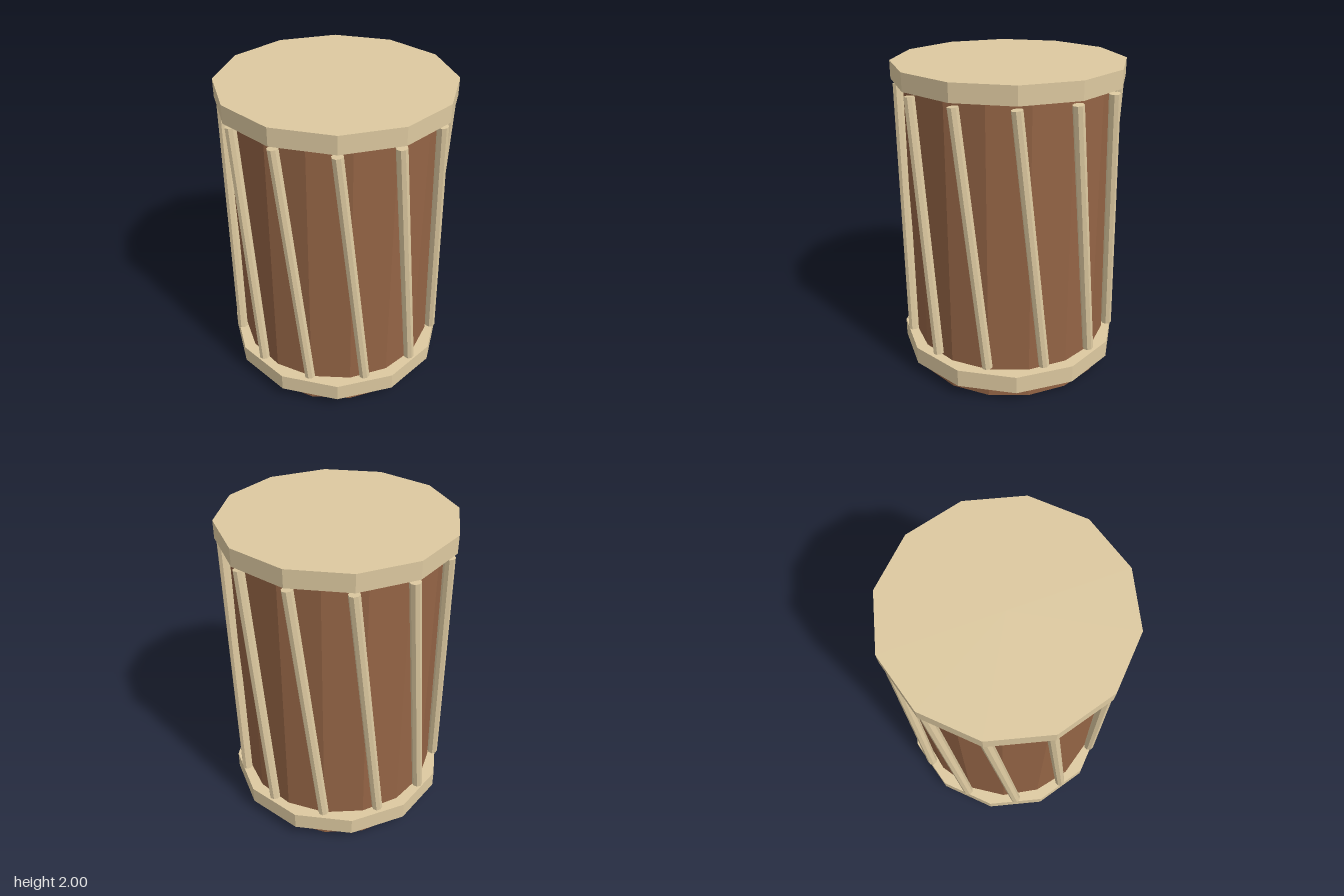
import * as THREE from 'three';

const wood = new THREE.MeshStandardMaterial({ color: 0x946445 });
wood.name = 'brown wood';
const hide = new THREE.MeshStandardMaterial({ color: 0xddc9a0 });
hide.name = 'pale hide';

// Faceted cylinder standing between two heights
function drumPart(name, radius, y0, y1, sides, material) {
  const geometry = new THREE.CylinderGeometry(radius, radius, y1 - y0, sides).toNonIndexed();
  geometry.computeVertexNormals();
  const mesh = new THREE.Mesh(geometry, material);
  mesh.name = name;
  mesh.position.y = (y0 + y1) / 2;
  return mesh;
}

// Point on the cord circle, measured from the front towards +x
const cordPoint = (angle, y, r = 0.677) =>
  new THREE.Vector3(r * Math.sin(angle), y, r * Math.cos(angle));

export function createModel() {
  const drum = new THREE.Group();
  drum.name = 'drum';

  // Shell, drum head and lower hoop
  drum.add(
    drumPart('shell', 0.645, 0, 1.95, 16, wood),
    drumPart('drumHead', 0.72, 1.89, 2, 12, hide),
    drumPart('lowerHoop', 0.72, 0.08, 0.195, 12, hide)
  );

  // Twelve slanted tension cords
  const cords = new THREE.Group();
  cords.name = 'tensionCords';
  const up = new THREE.Vector3(0, 1, 0);
  for (let i = 0; i < 12; i++) {
    const angle = (i * Math.PI) / 6;
    const top = cordPoint(angle, 1.86);
    const bottom = cordPoint(angle + Math.PI / 12, 0.237);
    const axis = top.clone().sub(bottom);
    const cord = drumPart('cord', 0.034, 0, axis.length(), 8, hide);
    cord.position.copy(top).add(bottom).multiplyScalar(0.5);
    cord.quaternion.setFromUnitVectors(up, axis.normalize());
    cords.add(cord);
  }
  drum.add(cords);
  return drum;
}
